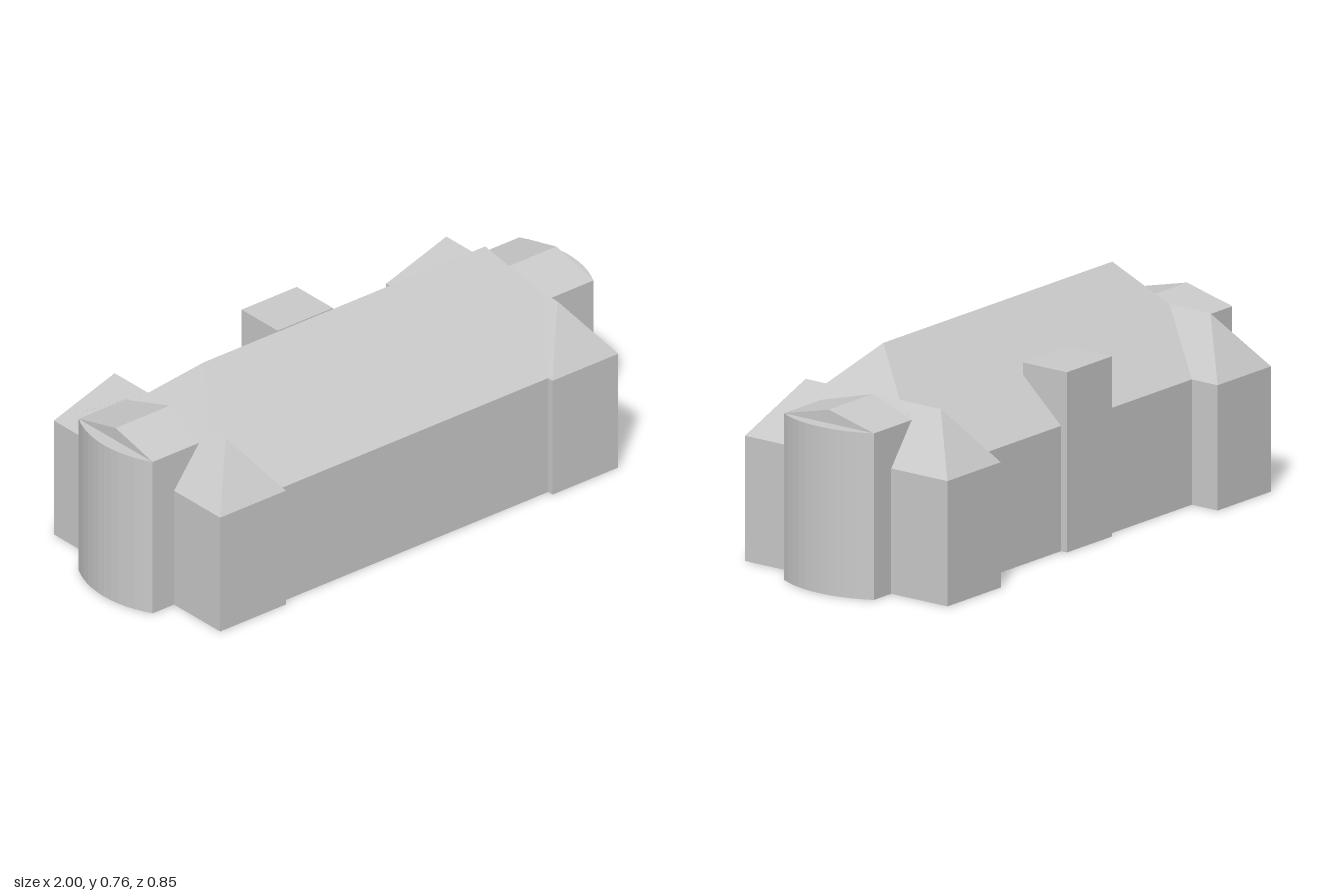
import * as THREE from 'three';
import { mergeGeometries } from 'three/addons/utils/BufferGeometryUtils.js';

const EAVE = 0.431, RIDGE = 0.763, WING_RIDGE = 0.62, BAY_EAVE = 0.573;
const FRONT = 0.404, BACK = -0.318, MID = 0.043;          // main block in z
const INNER = 0.575, OUTER = 0.858, CREST = 0.715;        // end wings in x
const WING_Z = 0.427, WING_HIP = 0.285;
const BAY_Z = 0.19, BAY_X = 0.95, BAY_IN = 0.75;
const HIP_X = 0.607, VALLEY_F = 0.1985, VALLEY_B = -0.1125;

// Flat polygon from corners listed counter-clockwise as seen from outside
function face(corners) {
  const pts = corners.map((c) => new THREE.Vector3(...c));
  const n = new THREE.Vector3();
  pts.forEach((p, i) => n.add(p.clone().cross(pts[(i + 1) % pts.length])));
  n.normalize();
  const u = pts[1].clone().sub(pts[0]).normalize();
  const v = n.clone().cross(u);
  const flat = pts.map((p) => new THREE.Vector2(p.dot(u), p.dot(v)));
  const tris = THREE.ShapeUtils.triangulateShape(flat, []);
  const geo = new THREE.BufferGeometry().setFromPoints(tris.flat().map((i) => pts[i]));
  geo.computeVertexNormals();
  return geo;
}

// Mirror a polygon across x = 0 or z = 0, keeping it facing outward
const flipX = (poly) => poly.map(([x, y, z]) => [-x, y, z]).reverse();
const flipZ = (poly) => poly.map(([x, y, z]) => [x, y, -z]).reverse();

// Upright walls along a plan path of [x, z] points
function walls(path, height) {
  return path.slice(1).map(([bx, bz], i) => {
    const [ax, az] = path[i];
    return [[ax, 0, az], [bx, 0, bz], [bx, height, bz], [ax, height, az]];
  });
}

export function createModel() {
  const group = new THREE.Group();
  const material = new THREE.MeshStandardMaterial({
    color: 0xcccccc, flatShading: true, side: THREE.DoubleSide,
  });
  const add = (name, geometry) => {
    const mesh = new THREE.Mesh(geometry, material);
    mesh.name = name;
    group.add(mesh);
  };
  const addFaces = (name, polys) => add(name, mergeGeometries(polys.map(face)));

  // Main block: long walls and the two big roof slopes
  addFaces('mainWalls', [
    ...walls([[-INNER, FRONT], [INNER, FRONT]], EAVE),
    ...walls([[INNER, BACK], [-INNER, BACK]], EAVE),
  ]);
  const slope = (eaveZ, valleyZ) => [
    [-INNER, EAVE, eaveZ], [INNER, EAVE, eaveZ], [CREST, WING_RIDGE, valleyZ],
    [HIP_X, RIDGE, MID], [-HIP_X, RIDGE, MID], [-CREST, WING_RIDGE, valleyZ],
  ];
  addFaces('mainRoof', [slope(FRONT, VALLEY_F), slope(BACK, VALLEY_B).reverse()]);

  // End wing walls, left open where the bay joins
  const wingFront = walls(
    [[INNER, FRONT], [INNER, WING_Z], [OUTER, WING_Z], [OUTER, BAY_Z]], EAVE);
  const wingBack = walls(
    [[OUTER, -BAY_Z], [OUTER, -WING_Z], [INNER, -WING_Z], [INNER, BACK]], EAVE);
  const wingWalls = [...wingFront, ...wingBack];

  // End wing roof: outer slope notched for the bay, inner slopes, hipped ends
  const outerSlope = [
    [OUTER, EAVE, WING_Z], [OUTER, EAVE, BAY_Z], [BAY_IN, BAY_EAVE, BAY_Z],
    [CREST, WING_RIDGE, 0],
    [BAY_IN, BAY_EAVE, -BAY_Z], [OUTER, EAVE, -BAY_Z], [OUTER, EAVE, -WING_Z],
    [CREST, WING_RIDGE, -WING_HIP], [CREST, WING_RIDGE, VALLEY_B],
    [HIP_X, RIDGE, MID], [CREST, WING_RIDGE, VALLEY_F], [CREST, WING_RIDGE, WING_HIP],
  ];
  const innerFront = [
    [INNER, EAVE, FRONT], [INNER, EAVE, WING_Z],
    [CREST, WING_RIDGE, WING_HIP], [CREST, WING_RIDGE, VALLEY_F],
  ];
  const innerBack = [
    [INNER, EAVE, -WING_Z], [INNER, EAVE, BACK],
    [CREST, WING_RIDGE, VALLEY_B], [CREST, WING_RIDGE, -WING_HIP],
  ];
  const hipEnd = [[INNER, EAVE, WING_Z], [OUTER, EAVE, WING_Z], [CREST, WING_RIDGE, WING_HIP]];
  const wingRoof = [outerSlope, innerFront, innerBack, hipEnd, flipZ(hipEnd)];

  // Rounded bay: curved end wall, side walls, low gabled roof
  const bulge = 1 - BAY_X;
  const radius = (BAY_Z ** 2 + bulge ** 2) / (2 * bulge);
  const half = Math.asin(BAY_Z / radius);
  const arc = Array.from({ length: 13 }, (_, i) => {
    const a = half * (1 - i / 6);
    return [1 - radius + radius * Math.cos(a), radius * Math.sin(a)];
  });
  const side = [
    [OUTER, 0, BAY_Z], [BAY_X, 0, BAY_Z], [BAY_X, BAY_EAVE, BAY_Z],
    [BAY_IN, BAY_EAVE, BAY_Z], [OUTER, EAVE, BAY_Z],
  ];
  const bayWalls = [side, flipZ(side), ...walls(arc, BAY_EAVE)];
  const baySlope = [
    [BAY_IN, BAY_EAVE, BAY_Z], [BAY_X, BAY_EAVE, BAY_Z],
    [BAY_X, WING_RIDGE, 0], [CREST, WING_RIDGE, 0],
  ];
  const gable = [[BAY_X, BAY_EAVE, BAY_Z], [BAY_X, BAY_EAVE, -BAY_Z], [BAY_X, WING_RIDGE, 0]];
  const ledge = arc.map(([x, z]) => [x, BAY_EAVE, z]);
  const bayRoof = [baySlope, flipZ(baySlope), gable, ledge];

  // Both ends of the building
  for (const [prefix, mirror] of [['left', (p) => p], ['right', flipX]]) {
    addFaces(prefix + 'WingWalls', wingWalls.map(mirror));
    addFaces(prefix + 'WingRoof', wingRoof.map(mirror));
    addFaces(prefix + 'BayWalls', bayWalls.map(mirror));
    addFaces(prefix + 'BayRoof', bayRoof.map(mirror));
  }

  // Chimney stack against the back wall, cut to the roof slope
  const cx = 0.119, cBack = -0.343, cFront = -0.157, cFoot = 0.579;
  const cheek = [
    [cx, 0, BACK], [cx, 0, cBack], [cx, WING_RIDGE, cBack],
    [cx, WING_RIDGE, cFront], [cx, cFoot, cFront], [cx, EAVE, BACK],
  ];
  addFaces('chimney', [
    cheek, flipX(cheek),
    ...walls([[cx, cBack], [-cx, cBack]], WING_RIDGE),
    [[-cx, WING_RIDGE, cFront], [cx, WING_RIDGE, cFront],
      [cx, WING_RIDGE, cBack], [-cx, WING_RIDGE, cBack]],
    [[-cx, cFoot, cFront], [cx, cFoot, cFront],
      [cx, WING_RIDGE, cFront], [-cx, WING_RIDGE, cFront]],
  ]);

  return group;
}
